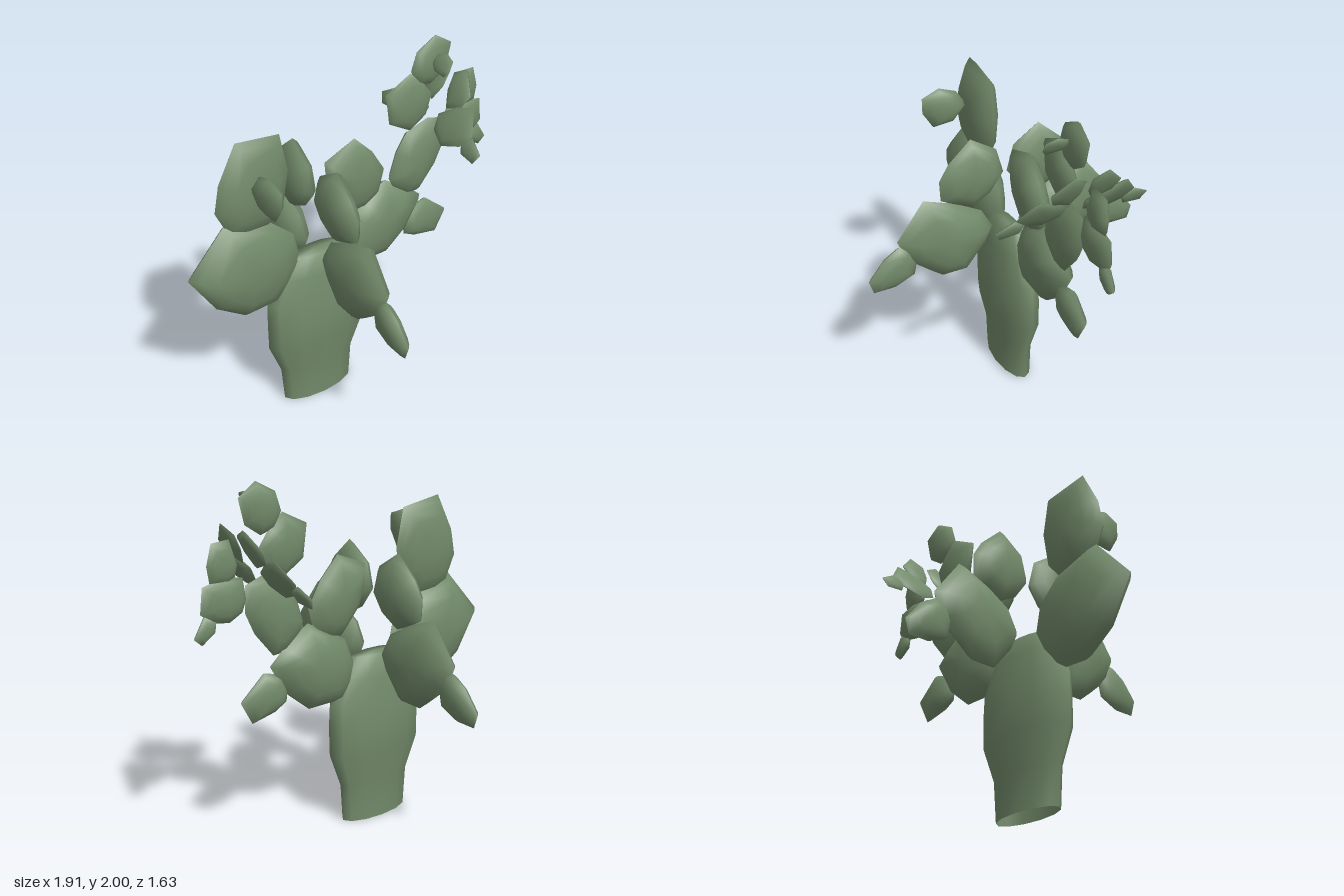
import * as THREE from 'three';

const green = new THREE.MeshStandardMaterial({ color: 0x728a6a, side: THREE.DoubleSide });
green.name = 'cactusGreen';

// Indexed geometry from rings of equal length; the last ring is closed by a centre point
function loft(rings, tip, flip) {
  const n = rings[0].length, pos = [...rings.flat(), tip].flat(), idx = [];
  const tri = (a, b, c) => (flip ? idx.push(a, c, b) : idx.push(a, b, c));
  rings.forEach((_, r) => {
    for (let i = 0; i < n; i++) {
      const a = r * n + i, b = r * n + (i + 1) % n;
      if (r === rings.length - 1) tri(a, b, n * rings.length);
      else { tri(a, b, b + n); tri(a, b + n, a + n); }
    }
  });
  const g = new THREE.BufferGeometry();
  g.setAttribute('position', new THREE.Float32BufferAttribute(pos, 3));
  g.setIndex(idx);
  g.computeVertexNormals();
  return g;
}

// Lens-shaped pad: two domes meeting in a sharp rim that follows the outline.
// place(u, v, w) turns outline coordinates and thickness into a 3D point.
const dome = [[1, 0], [0.86, 0.45], [0.62, 0.82], [0.3, 0.97]];
function pad(name, outline, t, place, mirrored) {
  const pts = outline.map(([u, v]) => new THREE.Vector2(u, v));
  if (THREE.ShapeUtils.isClockWise(pts)) pts.reverse();
  const box = new THREE.Box2().setFromPoints(pts), c = box.getCenter(new THREE.Vector2());
  const group = new THREE.Group();
  group.name = name;
  for (const s of [1, -1]) {
    const rings = dome.map(([k, h]) =>
      pts.map(p => place(c.x + (p.x - c.x) * k, c.y + (p.y - c.y) * k, s * h * t, c.y)));
    const mesh = new THREE.Mesh(loft(rings, place(c.x, c.y, s * t, c.y), (s < 0) !== mirrored), green);
    mesh.name = name + (s > 0 ? 'FaceA' : 'FaceB');
    group.add(mesh);
  }
  return group;
}

// Pad facing the front
const facing = (name, t, z, outline) => pad(name, outline, t, (u, v, w) => [u, v, z + w], false);

// Pad standing edge-on, outline given as [z, y]; slope leans it sideways
const edgeOn = (name, t, x, slope, side, outline) =>
  pad(name, outline, t, (u, v, w, vc) => [x + slope * (v - vc) + w, v, side * u], side > 0);

export function createModel() {
  const cactus = new THREE.Group();
  cactus.name = 'cactus';

  // Trunk: flattened rings [y, half width, half depth], open underneath
  const sections = [[0, 0.22, 0.085], [0.22, 0.238, 0.085], [0.41, 0.31, 0.12], [0.58, 0.312, 0.12],
    [0.7, 0.31, 0.108], [0.85, 0.235, 0.09], [0.96, 0.155, 0.055]];
  const rings = sections.map(([y, a, b]) => Array.from({ length: 12 }, (_, i) => {
    const q = -i * Math.PI / 6;
    return [-0.2 + a * Math.cos(q), y, -0.01 + b * Math.sin(q)];
  }));
  const trunk = new THREE.Mesh(loft(rings, [-0.2, 0.965, -0.01], false), green);
  trunk.name = 'trunk';
  cactus.add(trunk);

  // Right-hand branch
  cactus.add(
    facing('rightLargePad', 0.105, -0.02, [[-0.735, 1.315], [-0.96, 1.065], [-0.81, 0.82], [-0.64, 0.7],
      [-0.445, 0.71], [-0.35, 0.81], [-0.29, 0.94], [-0.325, 1.1], [-0.47, 1.235]]),
    facing('rightUpperPad', 0.075, -0.015, [[-0.65, 1.77], [-0.395, 1.735], [-0.35, 1.51], [-0.38, 1.335],
      [-0.475, 1.225], [-0.62, 1.22], [-0.715, 1.26], [-0.785, 1.41], [-0.755, 1.565]]),
    edgeOn('rightUpperBud', 0.045, -0.59, 0, 1, [[0.04, 1.53], [0.12, 1.44], [0.24, 1.43], [0.3, 1.53],
      [0.3, 1.62], [0.2, 1.66], [0.1, 1.62]]));

  // Left-hand branch
  cactus.add(
    facing('leftLargePad', 0.085, -0.015, [[-0.05, 0.93], [0.01, 1.075], [0.12, 1.14], [0.265, 1.215],
      [0.42, 1.11], [0.51, 1.03], [0.41, 0.86], [0.26, 0.735], [0.03, 0.735], [-0.03, 0.82]]),
    facing('leftInnerPad', 0.068, -0.012, [[-0.13, 1.47], [0.06, 1.55], [0.175, 1.43], [0.255, 1.295],
      [0.22, 1.16], [0.125, 1.1], [0.035, 1.1], [-0.09, 1.245], [-0.12, 1.36]]),
    facing('leftLowBud', 0.045, -0.005, [[0.39, 0.875], [0.42, 0.965], [0.54, 1], [0.69, 0.87],
      [0.62, 0.74], [0.475, 0.77], [0.4, 0.81]]),
    facing('leftLongPad', 0.06, 0, [[0.28, 1.225], [0.325, 1.37], [0.395, 1.48], [0.535, 1.52],
      [0.64, 1.485], [0.645, 1.34], [0.59, 1.22], [0.475, 1.08], [0.4, 1.085], [0.31, 1.16]]),
    facing('leftTallPad', 0.045, 0, [[0.25, 1.745], [0.405, 1.825], [0.49, 1.75], [0.555, 1.66],
      [0.52, 1.545], [0.415, 1.48], [0.275, 1.565]]),
    facing('leftTopPad', 0.04, 0, [[0.565, 2], [0.67, 1.93], [0.635, 1.79], [0.54, 1.725],
      [0.455, 1.75], [0.41, 1.83], [0.445, 1.935]]),
    edgeOn('leftTopBud', 0.02, 0.538, 0.5, 1, [[0.025, 1.87], [0.06, 1.835], [0.14, 1.83], [0.165, 1.86],
      [0.16, 1.915], [0.1, 1.935], [0.04, 1.91]]),
    facing('leftOuterPad', 0.04, 0, [[0.635, 1.415], [0.655, 1.53], [0.77, 1.55], [0.895, 1.52],
      [0.91, 1.385], [0.845, 1.33], [0.74, 1.31], [0.66, 1.35]]),
    facing('leftOuterTopBud', 0.035, 0, [[0.685, 1.6], [0.73, 1.735], [0.835, 1.73], [0.865, 1.62],
      [0.85, 1.53], [0.75, 1.51], [0.7, 1.54]]),
    facing('leftOuterTipBud', 0.025, 0, [[0.815, 1.34], [0.885, 1.375], [0.95, 1.265], [0.905, 1.225],
      [0.825, 1.28]]));

  // Edge-on pads, mirrored to the front and the back
  for (const [side, end] of [[1, 'front'], [-1, 'back']]) {
    cactus.add(
      edgeOn(end + 'LargePad', 0.086, -0.2, 0, side, [[0.48, 1.25], [0.64, 1.035], [0.585, 0.9], [0.455, 0.79],
        [0.385, 0.735], [0.24, 0.735], [0.12, 0.88], [0.08, 0.97], [0.145, 1.09], [0.3, 1.18]]),
      edgeOn(end + 'UpperPad', 0.067, -0.2, 0, side, [[0.38, 1.22], [0.385, 1.34], [0.33, 1.43], [0.2, 1.55],
        [0.05, 1.45], [0.01, 1.3], [0.09, 1.19], [0.2, 1.13], [0.31, 1.18]]),
      edgeOn(end + 'LowBud', 0.043, -0.2, 0, side, [[0.815, 0.83], [0.79, 0.75], [0.67, 0.75], [0.55, 0.8],
        [0.525, 0.92], [0.56, 0.99], [0.63, 1], [0.72, 0.945]]),
      edgeOn(end + 'BranchPad', 0.03, 0.57, 0.6, side, [[0.245, 1.655], [0.325, 1.545], [0.275, 1.475],
        [0.155, 1.43], [0.06, 1.475], [0.04, 1.55], [0.14, 1.62]]),
      edgeOn(end + 'BranchUpperBud', 0.025, 0.66, 0.5, side, [[0.095, 1.795], [0.19, 1.69], [0.16, 1.62],
        [0.06, 1.58], [0.02, 1.66], [0.015, 1.75]]),
      edgeOn(end + 'BranchTipBud', 0.02, 0.545, 0.4, side, [[0.26, 1.5], [0.33, 1.54], [0.42, 1.485],
        [0.39, 1.43], [0.29, 1.44]]));
  }
  return cactus;
}
